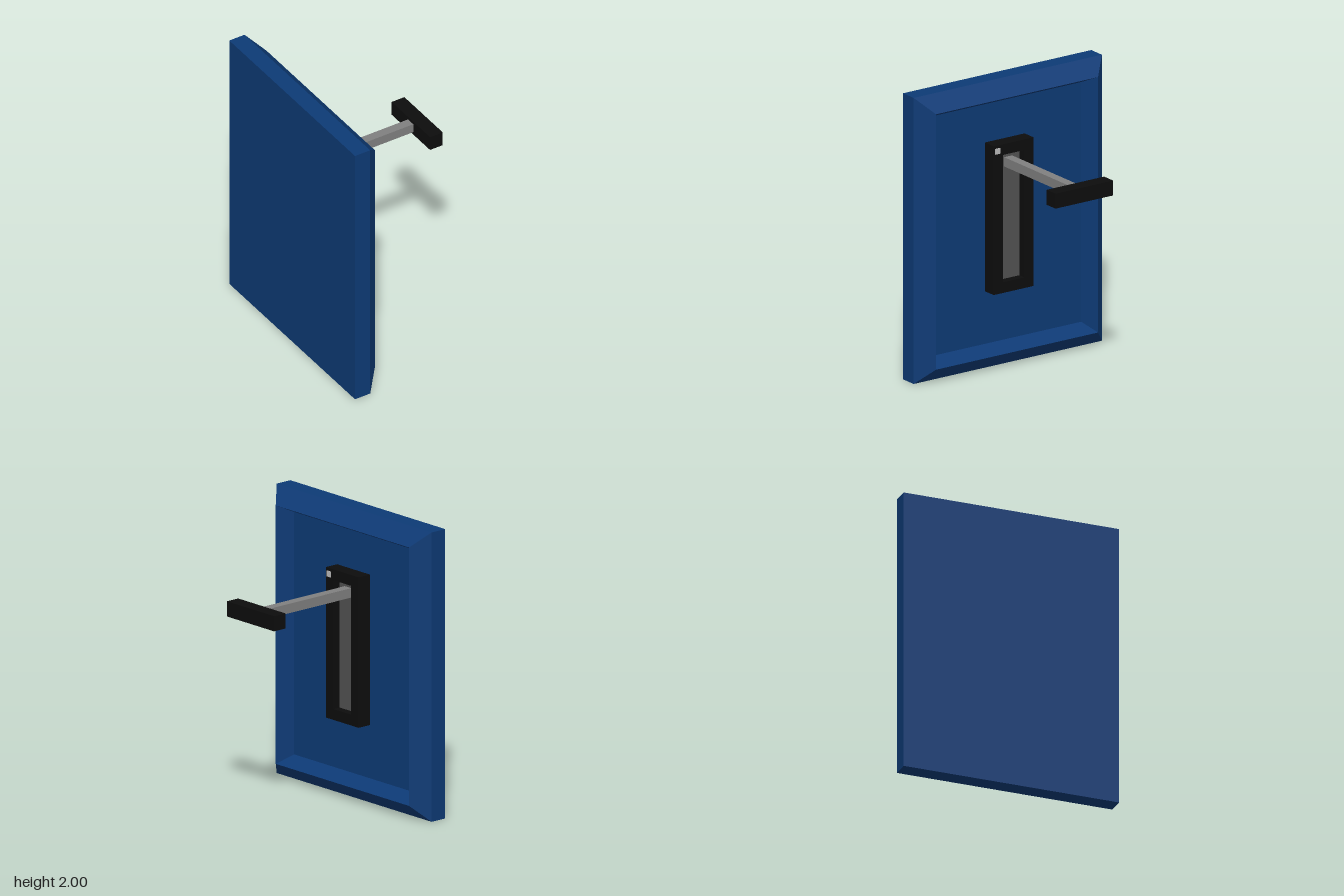
import * as THREE from 'three';

const mat = (color) => new THREE.MeshStandardMaterial({ color, flatShading: true });
const BLUE = mat(0x0d3a75), BLACK = mat(0x0d0d0d), STEEL = mat(0x808080);
const DARK_STEEL = mat(0x525252), LIGHT = mat(0xbbbbbb);

// Box given by its min and max on each axis
function box(name, material, [x0, x1], [y0, y1], [z0, z1]) {
  const mesh = new THREE.Mesh(new THREE.BoxGeometry(x1 - x0, y1 - y0, z1 - z0), material);
  mesh.position.set((x0 + x1) / 2, (y0 + y1) / 2, (z0 + z1) / 2);
  mesh.name = name;
  return mesh;
}

// Lofts rectangular rings [x, inset] along x and closes both ends
function panelGeometry(rings, halfZ, height) {
  const pos = [];
  const quad = (a, b, c, d) => pos.push(...a, ...b, ...c, ...a, ...c, ...d);
  const loops = rings.map(([x, i]) => [
    [x, i, halfZ - i], [x, i, i - halfZ],
    [x, height - i, i - halfZ], [x, height - i, halfZ - i],
  ]);
  for (let r = 0; r < loops.length - 1; r++) {
    const a = loops[r], b = loops[r + 1];
    for (let k = 0; k < 4; k++) {
      const n = (k + 1) % 4;
      quad(a[k], a[n], b[n], b[k]);
    }
  }
  quad(...loops[0].slice().reverse());
  quad(...loops[loops.length - 1]);
  const g = new THREE.BufferGeometry();
  g.setAttribute('position', new THREE.Float32BufferAttribute(pos, 3));
  g.computeVertexNormals();
  return g;
}

// Counter-clockwise rectangle as points
const rect = (x0, x1, y0, y1) => [[x0, y0], [x1, y0], [x1, y1], [x0, y1]]
  .map(([x, y]) => new THREE.Vector2(x, y));

export function createModel() {
  const model = new THREE.Group();
  model.name = 'leverPanel';

  // Wall panel with a bevelled rim and a sunken face
  const panel = new THREE.Mesh(
    panelGeometry([[-0.51, 0], [-0.39, 0], [-0.285, 0.107], [-0.4, 0.162]], 0.77, 2), BLUE);
  panel.name = 'wallPanel';
  model.add(panel);

  // Slot frame, extruded out of the panel along +x
  const outline = new THREE.Shape(rect(-0.18, 0.145, 0.53, 1.57));
  outline.holes.push(new THREE.Path(rect(-0.105, 0.07, 0.605, 1.495).reverse()));
  const frameGeo = new THREE.ExtrudeGeometry(outline, { depth: 0.1, bevelEnabled: false });
  frameGeo.rotateY(Math.PI / 2).translate(-0.4, 0, 0);
  const frame = new THREE.Mesh(frameGeo, BLACK);
  frame.name = 'slotFrame';
  model.add(frame);

  // Plate at the bottom of the slot, and the small indicator lamp
  model.add(box('slotPlate', DARK_STEEL, [-0.4, -0.355], [0.605, 1.495], [-0.07, 0.105]));
  model.add(box('indicatorLamp', LIGHT, [-0.31, -0.295], [1.51, 1.55], [0.13, 0.168]));

  // Lever rod and cross grip
  model.add(box('leverRod', STEEL, [-0.356, 0.42], [1.39, 1.455], [-0.01, 0.055]));
  model.add(box('leverGrip', BLACK, [0.41, 0.51], [1.37, 1.475], [-0.21, 0.26]));

  return model;
}
